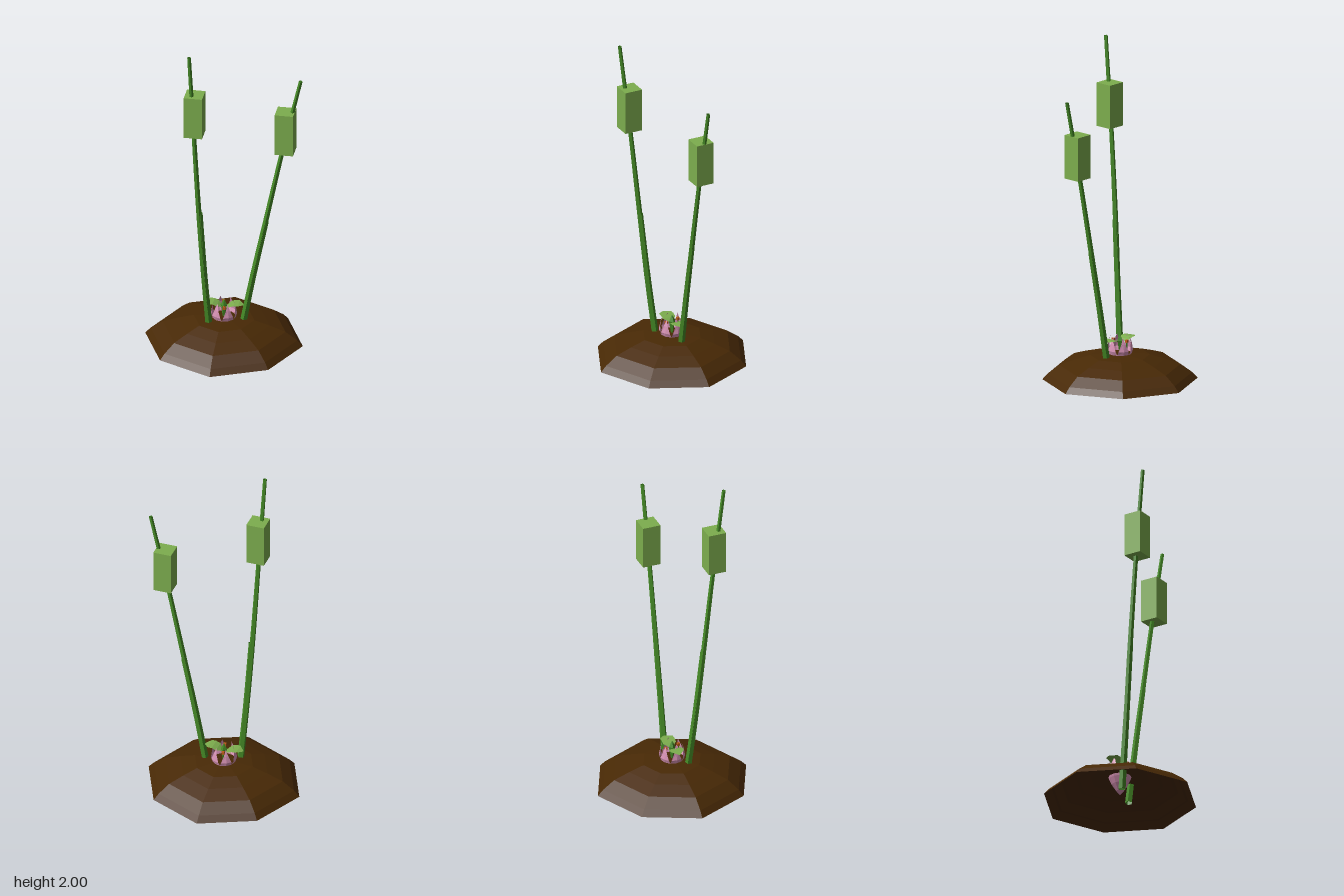
import * as THREE from 'three';

const mat = (name, color) => {
  const m = new THREE.MeshStandardMaterial({ color, flatShading: true, side: THREE.DoubleSide });
  m.name = name;
  return m;
};

export function createModel() {
  const soil = mat('soil brown', 0x482905);
  const stemGreen = mat('stem green', 0x458a26);
  const headGreen = mat('pale green', 0x7dae4e);
  const pink = mat('petal pink', 0xd792b5);
  const orange = mat('stamen orange', 0xb85a18);

  const root = new THREE.Group();
  const add = (name, geo, material, parent = root) => {
    const m = new THREE.Mesh(geo, material);
    m.name = name;
    parent.add(m);
    return m;
  };
  const v = (x, y, z) => new THREE.Vector3(x, y, z);
  const lathe = (points, sides) => new THREE.LatheGeometry(points.map(p => new THREE.Vector2(...p)), sides);

  // eight-sided mound, open underneath, its diagonal corners slightly drawn in
  function moundShell(points) {
    const geo = lathe(points, 8);
    const pos = geo.attributes.position;
    for (let i = 0; i < pos.count; i++) {
      const x = pos.getX(i), z = pos.getZ(i);
      if (Math.min(Math.abs(x), Math.abs(z)) > 0.001) pos.setXYZ(i, x * 0.97, pos.getY(i), z * 0.97);
    }
    return geo;
  }
  add('mound', moundShell([[0.468, 0], [0.435, 0.035], [0.365, 0.085], [0.27, 0.118], [0.18, 0.145], [0.08, 0.155], [0, 0.155]]), soil);
  // stepped hollow beneath
  add('moundHollow', moundShell([[0.468, 0], [0.42, 0.036], [0.405, 0.036], [0.36, 0.078], [0.34, 0.078],
    [0.27, 0.11], [0.25, 0.11], [0.18, 0.137], [0.08, 0.148], [0, 0.148]]), soil);

  // tapering five-sided tube along a curve
  function taperedTube(points, r0, r1, rows) {
    const curve = new THREE.CatmullRomCurve3(points);
    const sides = 5;
    const geo = new THREE.TubeGeometry(curve, rows, 1, sides);
    const pos = geo.attributes.position, p = v(0, 0, 0);
    for (let i = 0; i <= rows; i++) {
      const c = curve.getPointAt(i / rows);
      const r = r0 + (r1 - r0) * i / rows;
      for (let j = 0; j <= sides; j++) {
        const k = i * (sides + 1) + j;
        p.fromBufferAttribute(pos, k).sub(c).multiplyScalar(r).add(c);
        pos.setXYZ(k, p.x, p.y, p.z);
      }
    }
    geo.computeVertexNormals();
    return geo;
  }

  // reeds: tall stem, shorter sheath around its lower half, and a square seed head
  function reed(name, stem, sheath, head) {
    const g = new THREE.Group();
    g.name = name;
    root.add(g);
    add('stem', taperedTube(stem, 0.02, 0.0115, 12), stemGreen, g);
    add('sheath', taperedTube(sheath, 0.022, 0.015, 6), stemGreen, g);
    add('seedHead', new THREE.BoxGeometry(0.109, 0.263, 0.109), headGreen, g).position.copy(head);
  }
  reed('rightReed',
    [v(-0.072, 0.03, 0.06), v(-0.098, 0.45, 0.107), v(-0.122, 0.9, 0.149), v(-0.143, 1.47, 0.204), v(-0.16, 2, 0.262)],
    [v(-0.071, 0.03, 0.06), v(-0.096, 0.45, 0.105), v(-0.115, 0.91, 0.148)],
    v(-0.137, 1.597, 0.209));
  reed('leftReed',
    [v(0.093, 0.02, 0), v(0.17, 0.43, 0), v(0.248, 0.81, 0), v(0.348, 1.29, 0), v(0.456, 1.763, 0)],
    [v(0.094, 0.02, 0), v(0.172, 0.43, 0), v(0.252, 0.81, 0)],
    v(0.365, 1.42, 0));

  // flower cup, reaching down through the soil
  const flower = new THREE.Group();
  flower.name = 'flower';
  root.add(flower);
  add('flowerCup', lathe([[0, 0.035], [0.022, 0.06], [0.048, 0.1], [0.064, 0.135], [0.071, 0.16]], 12), pink, flower);

  // six curved petals narrowing to points that lean inwards
  const petalRows = [[0.071, 0.16, 0.5], [0.077, 0.178, 0.42], [0.069, 0.22, 0.2], [0.057, 0.26, 0]]; // radius, height, half angle
  const petal = new THREE.PlaneGeometry(1, 1, 2, 3);
  const pos = petal.attributes.position;
  petalRows.forEach(([r, y, half], row) => {
    for (let j = 0; j <= 2; j++) {
      const a = (j - 1) * half;
      pos.setXYZ((3 - row) * 3 + j, r * Math.sin(a), y, r * Math.cos(a));
    }
  });
  petal.computeVertexNormals();
  for (let i = 0; i < 6; i++) add('petal', petal, pink, flower).rotation.y = (i + 0.5) * Math.PI / 3;

  // two spreading leaves, arching up from the middle
  const leafRows = [[0.004, 0.215, 0.002], [0.036, 0.237, 0.04], [0.062, 0.247, 0.041], [0.088, 0.248, 0.04], [0.122, 0.24, 0.001]];
  const leaf = new THREE.PlaneGeometry(1, 1, 1, 4);
  leafRows.forEach(([x, y, half], row) => {
    for (let j = 0; j < 2; j++) leaf.attributes.position.setXYZ(row * 2 + j, x, y, j ? -half : half);
  });
  leaf.computeVertexNormals();
  for (const side of [0, 1]) add(side ? 'rightLeaf' : 'leftLeaf', leaf, headGreen, flower).rotation.y = side * Math.PI;

  // central bud
  add('budBase', new THREE.CylinderGeometry(0.02, 0.006, 0.08, 4), stemGreen, flower).position.y = 0.19;
  add('budTip', new THREE.ConeGeometry(0.02, 0.042, 4), stemGreen, flower).position.y = 0.251;

  // stamens
  for (const s of [-1, 1]) {
    add('stamen', new THREE.BoxGeometry(0.005, 0.07, 0.005), stemGreen, flower).position.set(s * 0.01, 0.19, s * 0.044);
    add('stamenTip', new THREE.BoxGeometry(0.016, 0.016, 0.016), orange, flower).position.set(s * 0.01, 0.232, s * 0.044);
  }
  return root;
}
